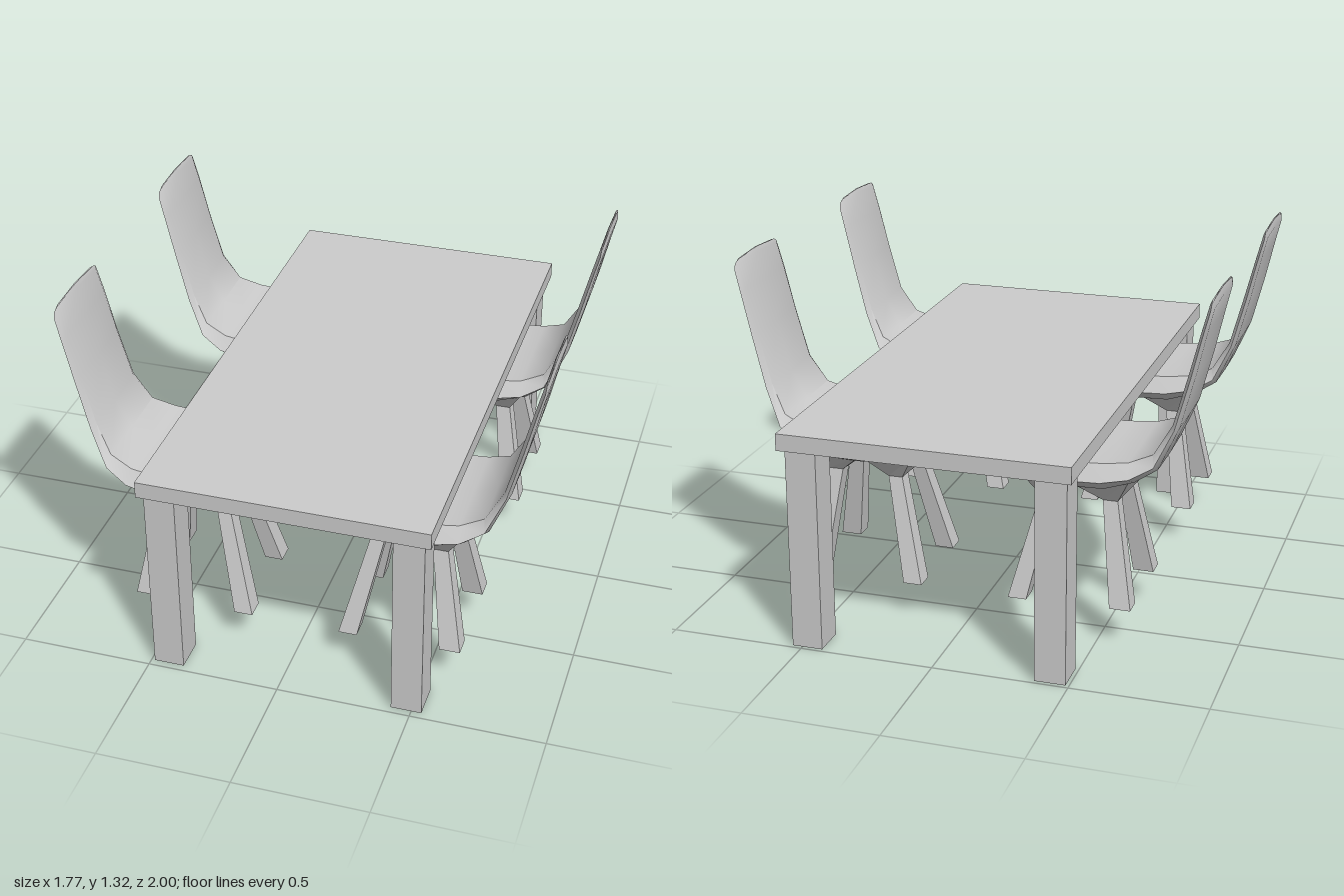
import * as THREE from 'three';
import { toCreasedNormals } from 'three/addons/utils/BufferGeometryUtils.js';

const smooth = new THREE.MeshStandardMaterial({ color: 0xcccccc });
const flat = new THREE.MeshStandardMaterial({ color: 0xcccccc, flatShading: true });

// Closed skin through equal-sized rings, which run counter-clockwise about the direction of travel.
function loft(rings) {
  const n = rings[0].length, last = (rings.length - 1) * n, index = [];
  for (let i = 0; i < rings.length - 1; i++) {
    for (let j = 0; j < n; j++) {
      const k = (j + 1) % n, a = i * n + j, b = i * n + k;
      index.push(a, b, b + n, a, b + n, a + n);
    }
  }
  for (let j = 1; j < n - 1; j++) index.push(0, j + 1, j, last, last + j, last + j + 1);
  const geo = new THREE.BufferGeometry();
  geo.setAttribute('position', new THREE.Float32BufferAttribute(rings.flat(2), 3));
  geo.setIndex(index);
  geo.computeVertexNormals();
  return geo;
}

function addMesh(parent, name, geo, material) {
  const mesh = new THREE.Mesh(geo, material);
  mesh.name = name;
  parent.add(mesh);
  return mesh;
}

function addBox(parent, name, x0, x1, y0, y1, z0, z1) {
  addMesh(parent, name, new THREE.BoxGeometry(x1 - x0, y1 - y0, z1 - z0), smooth)
    .position.set((x0 + x1) / 2, (y0 + y1) / 2, (z0 + z1) / 2);
}

// Seat and back in one sweep: inner x, y; outer x, y; rim y; half width
const stations = [
  [0.125, 0.648, 0.125, 0.632, 0.64, 0.15],
  [0.18, 0.683, 0.19, 0.61, 0.64, 0.215],
  [0.28, 0.69, 0.28, 0.6, 0.64, 0.25],
  [0.4, 0.695, 0.4, 0.597, 0.64, 0.265],
  [0.52, 0.702, 0.52, 0.6, 0.645, 0.265],
  [0.61, 0.712, 0.63, 0.635, 0.665, 0.258],
  [0.695, 0.745, 0.71, 0.685, 0.71, 0.235],
  [0.755, 0.85, 0.778, 0.84, 0.845, 0.203],
  [0.805, 1.04, 0.828, 1.035, 1.035, 0.196],
  [0.845, 1.2, 0.864, 1.195, 1.195, 0.194],
  [0.869, 1.305, 0.884, 1.29, 1.28, 0.19],
  [0.875, 1.32, 0.88, 1.32, 1.3, 0.18],
];

function shellRing([ix, iy, ox, oy, ry, w]) {
  const rx = (ix + ox) / 2, ey = iy > 1.25 ? -0.008 : 0.004;
  const half = [[ix, iy + ey, 0.86 * w], [rx, ry, w], [ox, oy + ey, 0.8 * w]];
  const other = half.map(([x, y, z]) => [x, y, -z]).reverse();
  return [[ix, iy, 0], ...half, [ox, oy, 0], ...other];
}

// Splayed leg flaring out into one quarter of the seat's underside
function legGeometry(front, side) {
  const square = (inner, outer, y, z0, z1) => [[inner, y, z0], [inner, y, z1], [outer, y, z1], [outer, y, z0]];
  const rings = front ? [
    square(0.238, 0.168, 0.137, 0.14, 0.215),
    square(0.318, 0.265, 0.525, 0.075, 0.135),
    [[0.39, 0.6, 0], [0.39, 0.63, 0.235], [0.2, 0.635, 0.2], [0.135, 0.637, 0]],
  ] : [
    square(0.55, 0.628, 0.145, 0.14, 0.215),
    square(0.5, 0.555, 0.53, 0.075, 0.135),
    [[0.39, 0.6, 0], [0.39, 0.63, 0.235], [0.62, 0.655, 0.225], [0.68, 0.665, 0]],
  ];
  const placed = rings.map(r => r.map(([x, y, z]) => [x, y, z * side]));
  return loft(front === (side > 0) ? placed.map(r => r.reverse()) : placed);
}

function createChair() {
  const chair = new THREE.Group();
  addMesh(chair, 'seatShell', toCreasedNormals(loft(stations.map(shellRing)), 0.75), smooth);
  for (const side of [1, -1]) {
    addMesh(chair, 'frontChairLeg', legGeometry(true, side), flat);
    addMesh(chair, 'rearChairLeg', legGeometry(false, side), flat);
  }
  return chair;
}

export function createModel() {
  const model = new THREE.Group();
  model.name = 'diningSet';

  // Table
  const table = new THREE.Group();
  table.name = 'table';
  addBox(table, 'tableTop', -0.505, 0.565, 0.755, 0.818, -1, 1);
  for (const [x0, x1] of [[-0.487, -0.373], [0.424, 0.538]]) {
    for (const [z0, z1] of [[0.845, 0.973], [-0.985, -0.857]]) {
      addBox(table, 'tableLeg', x0, x1, 0, 0.755, z0, z1);
    }
  }
  model.add(table);

  // Two chairs on each side, facing the table
  for (const z of [0.565, -0.427]) {
    for (const turn of [0, Math.PI]) {
      const chair = createChair();
      chair.name = turn ? 'rightChair' : 'leftChair';
      chair.position.z = z;
      chair.rotation.y = turn;
      model.add(chair);
    }
  }
  return model;
}
